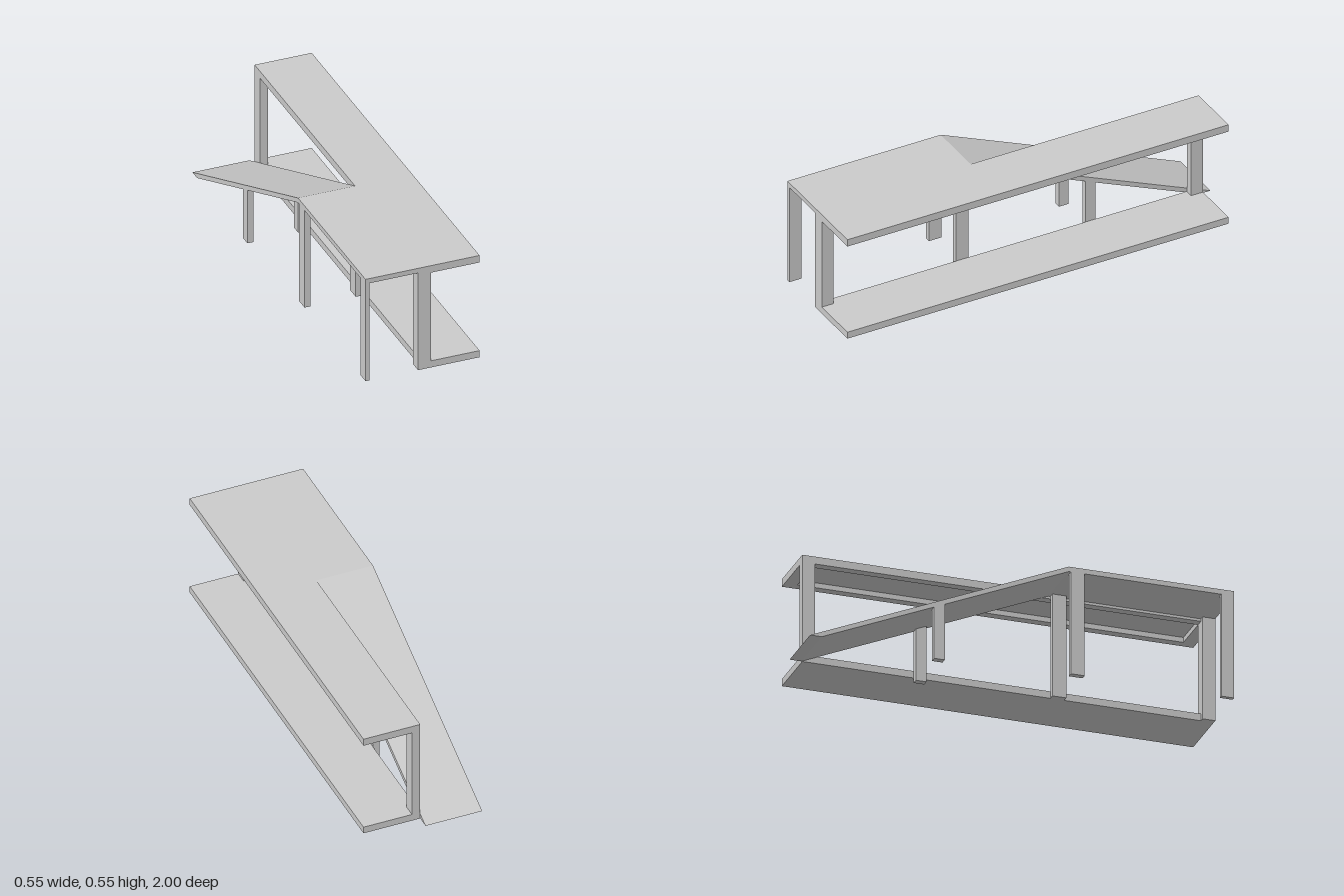
import * as THREE from 'three';

const material = new THREE.MeshStandardMaterial({ color: 0xcccccc, flatShading: true });

export function createModel() {
  const model = new THREE.Group();

  const add = (name, geometry) => {
    const mesh = new THREE.Mesh(geometry, material);
    mesh.name = name;
    model.add(mesh);
    return mesh;
  };

  // Box given by its extents on each axis
  const box = (name, [x0, x1], [y0, y1], [z0, z1]) =>
    add(name, new THREE.BoxGeometry(x1 - x0, y1 - y0, z1 - z0))
      .position.set((x0 + x1) / 2, (y0 + y1) / 2, (z0 + z1) / 2);

  // Side profile in (z, y) points, extruded from x0 to x1
  const profile = (name, points, x0, x1) => {
    const shape = new THREE.Shape(points.map(([z, y]) => new THREE.Vector2(-z, y)));
    const geometry = new THREE.ExtrudeGeometry(shape, { depth: x1 - x0, bevelEnabled: false });
    geometry.rotateY(Math.PI / 2);
    geometry.translate(x0, 0, 0);
    add(name, geometry);
  };

  const floorY = 0.024, deckBottom = 0.512, landingBottom = 0.524, top = 0.548;
  const recessTop = 0.536;
  const back = -0.94, front = 1, rampTop = 0.22, side = 0.275;

  // Lower walkway
  box('lowerDeck', [0, side], [floorY, 0.058], [back, front]);

  // Upper walkway: L-shaped top with a rimmed recess under its long arm
  box('upperDeckTop', [0, side], [recessTop, top], [back, front]);
  box('landing', [-side, 0], [landingBottom, top], [rampTop, front]);

  const rim = new THREE.Shape([
    new THREE.Vector2(0, -front), new THREE.Vector2(side, -front),
    new THREE.Vector2(side, -back), new THREE.Vector2(0, -back),
  ]);
  rim.holes.push(new THREE.Path([
    new THREE.Vector2(0.04, -0.94), new THREE.Vector2(0.04, 0.88),
    new THREE.Vector2(0.235, 0.88), new THREE.Vector2(0.235, -0.94),
  ]));
  const rimGeometry = new THREE.ExtrudeGeometry(rim, { depth: recessTop - deckBottom, bevelEnabled: false });
  rimGeometry.rotateX(-Math.PI / 2);
  rimGeometry.translate(0, deckBottom, 0);
  add('upperDeckRim', rimGeometry);

  // Sloping ramp up to the landing
  profile('ramp', [[-1, floorY], [-0.945, floorY], [rampTop, landingBottom], [rampTop, top]], -side, 0);

  // Posts between the walkways and under the landing
  box('frontPost', [-0.022, 0.04], [floorY, landingBottom], [0.94, front]);
  box('backPost', [0, 0.04], [0.058, deckBottom], [back, -0.88]);
  box('frontLandingLeg', [-side, -0.255], [floorY, landingBottom], [0.94, front]);
  for (const x of [-side, -0.028]) {
    box('rearLandingLeg', [x, x + 0.028], [floorY, landingBottom], [0.23, 0.295]);
  }

  // Ramp legs with tops cut to the slope
  for (const x of [-side, -0.03]) {
    profile('rampLeg', [[-0.365, 0], [-0.365, 0.275], [-0.415, 0.253], [-0.415, 0]], x, x + 0.03);
  }

  return model;
}
